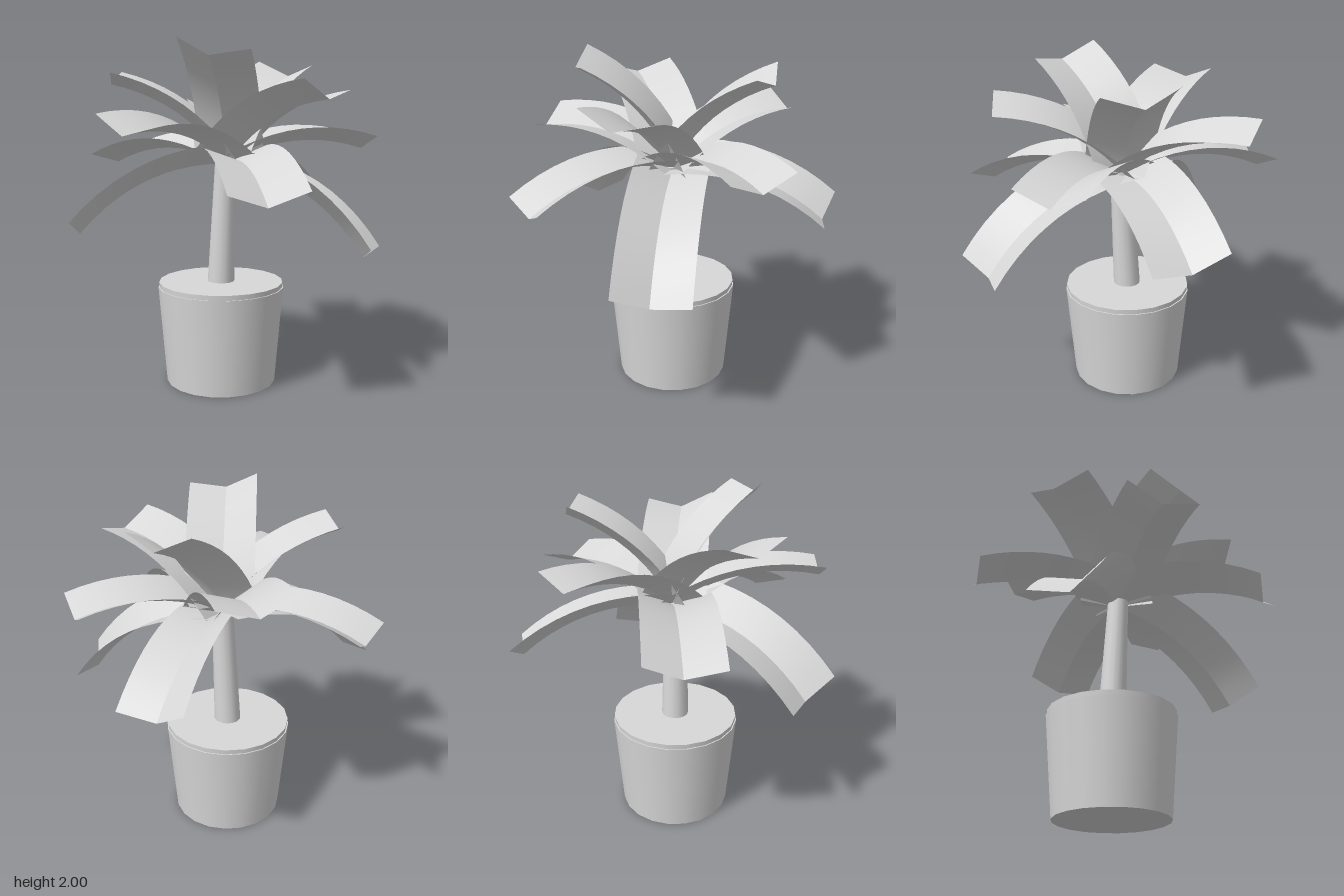
import * as THREE from 'three';

const CROWN = new THREE.Vector3(0, 1.31, 0); // where every leaf starts
const SAG = 0.125;                           // arching of a leaf, per squared length
const ROWS = 10;

// Tip of each leaf: one edge, mid fold, other edge, as [x, y, z]
const LEAF_TIPS = [
  [[0.134, 1.167, -0.936], [0.28, 1.056, -0.817], [0.495, 1.082, -0.757]],
  [[-0.4, 1.692, -0.663], [-0.22, 1.592, -0.728], [-0.01, 1.65, -0.782]],
  [[-0.723, 1.374, -0.55], [-0.78, 1.284, -0.356], [-0.896, 1.342, -0.173]],
  [[-0.653, 1.845, -0.07], [-0.65, 1.767, 0.134], [-0.584, 1.825, 0.342]],
  [[-0.886, 0.97, 0.233], [-0.757, 0.94, 0.41], [-0.738, 1.034, 0.614]],
  [[-0.57, 1.607, 0.629], [-0.4, 1.496, 0.723], [-0.213, 1.54, 0.827]],
  [[0.168, 1.236, 0.926], [0.347, 1.167, 0.817], [0.55, 1.247, 0.767]],
  [[-0.183, 2.0, 0.46], [0.002, 1.9, 0.535], [0.218, 1.93, 0.51]],
  [[0.487, 1.782, 0.545], [0.607, 1.68, 0.39], [0.71, 1.73, 0.21]],
  [[0.837, 0.907, 0.436], [0.8, 0.825, 0.233], [0.89, 0.854, 0.03]],
  [[0.866, 1.47, -0.149], [0.772, 1.39, -0.332], [0.703, 1.475, -0.52]],
  [[0.47, 1.889, -0.356], [0.307, 1.83, -0.5], [0.114, 1.925, -0.56]],
];

// A folded leaf: its V section is swept from the crown along an arc
function leafGeometry(tips) {
  const [edgeA, mid, edgeB] = tips.map((p) => new THREE.Vector3(...p));
  const chord = mid.clone().sub(CROWN);
  const side = new THREE.Vector3(0, 1, 0).cross(chord).normalize();
  const bulge = chord.clone().cross(side).normalize();
  const height = SAG * chord.lengthSq();

  const frameAt = (t) => {
    const along = chord.clone().addScaledVector(bulge, 4 * height * (1 - 2 * t)).normalize();
    return [along, side, along.clone().cross(side)];
  };
  const pointAt = (t) => CROWN.clone().addScaledVector(chord, t)
    .addScaledVector(bulge, 4 * height * t * (1 - t));

  // Edge offsets expressed in the frame at the tip
  const tipFrame = frameAt(1);
  const local = (edge) => tipFrame.map((axis) => edge.clone().sub(mid).dot(axis));
  const offsets = [local(edgeA), [0, 0, 0], local(edgeB)];

  const positions = [];
  const index = [];
  // Two separate halves keep the fold sharp
  for (let half = 0; half < 2; half++) {
    const start = positions.length / 3;
    for (let r = 0; r <= ROWS; r++) {
      const frame = frameAt(r / ROWS);
      for (const offset of [offsets[half], offsets[half + 1]]) {
        const p = pointAt(r / ROWS);
        frame.forEach((axis, i) => p.addScaledVector(axis, offset[i]));
        positions.push(p.x, p.y, p.z);
      }
      if (r < ROWS) {
        const a = start + r * 2;
        index.push(a, a + 1, a + 2, a + 1, a + 3, a + 2);
      }
    }
  }
  // Make the upper face the front
  if (offsets[0][1] > offsets[2][1]) index.reverse();
  const geometry = new THREE.BufferGeometry();
  geometry.setAttribute('position', new THREE.Float32BufferAttribute(positions, 3));
  geometry.setIndex(index);
  geometry.computeVertexNormals();
  return geometry;
}

export function createModel() {
  const model = new THREE.Group();
  model.name = 'pottedPalm';
  const grey = new THREE.MeshStandardMaterial({ color: 0xd8d8d8, side: THREE.DoubleSide });
  grey.name = 'lightGrey';

  const add = (name, geometry, x = 0, y = 0, z = 0, parent = model) => {
    const mesh = new THREE.Mesh(geometry, grey);
    mesh.name = name;
    mesh.position.set(x, y, z);
    parent.add(mesh);
    return mesh;
  };

  // Tapered pot with a thin raised rim disc
  add('pot', new THREE.CylinderGeometry(0.375, 0.327, 0.578, 20), -0.035, 0.289, 0);
  add('potRim', new THREE.CylinderGeometry(0.37, 0.368, 0.03, 20), -0.035, 0.592, 0);

  // Slightly leaning trunk
  const trunk = new THREE.CylinderGeometry(0.062, 0.08, 0.73, 14);
  trunk.applyMatrix4(new THREE.Matrix4().set(
    1, 0.044, 0, 0,
    0, 1, 0, 0,
    0, 0.025, 1, 0,
    0, 0, 0, 1,
  ));
  add('trunk', trunk, -0.018, 0.965, 0.01);

  // Crown of leaves
  const crown = new THREE.Group();
  crown.name = 'crown';
  model.add(crown);
  LEAF_TIPS.forEach((tips, i) => add(`leaf${i + 1}`, leafGeometry(tips), 0, 0, 0, crown));

  return model;
}
